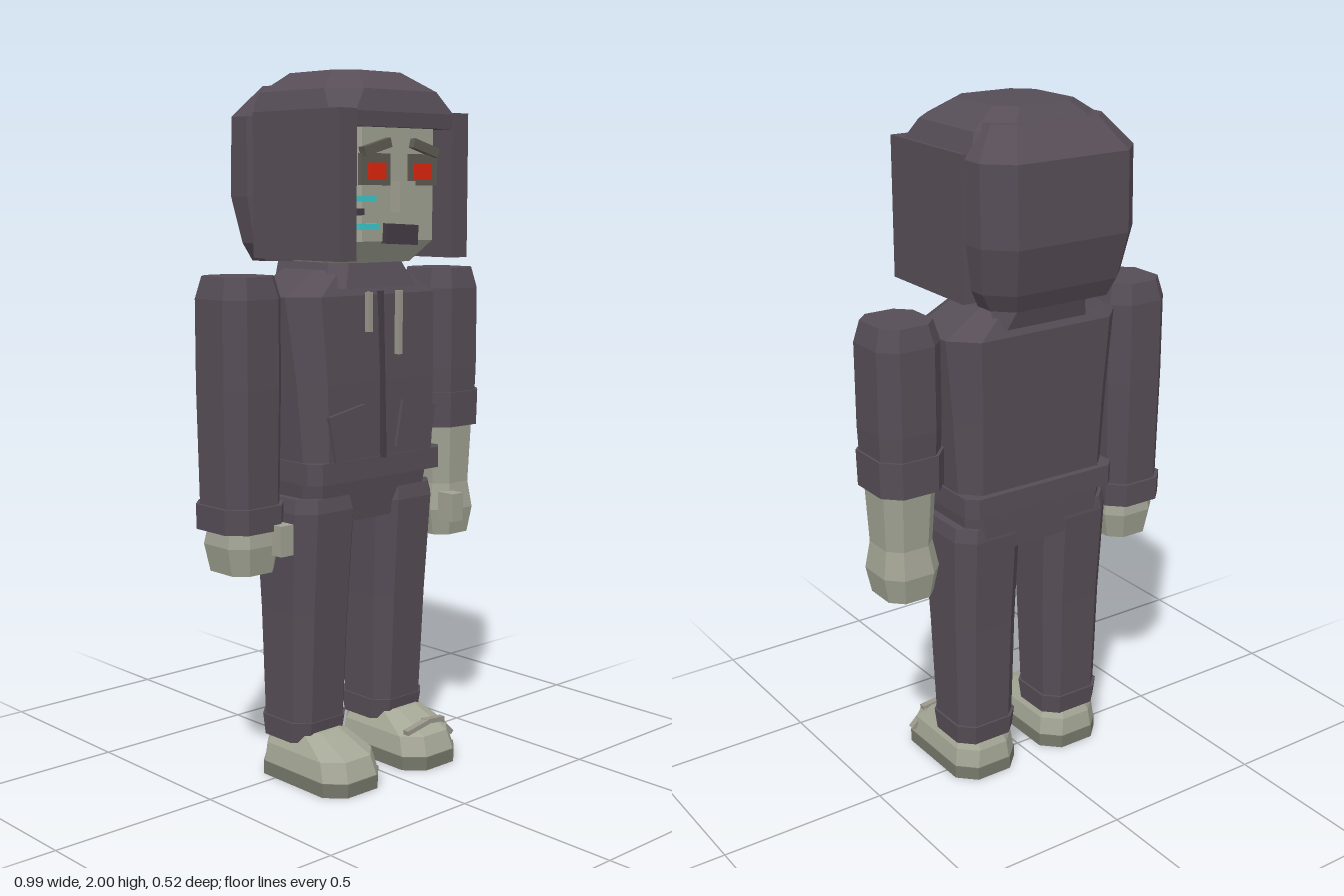
import * as THREE from 'three';

const mat = (name, color) => {
  const m = new THREE.MeshStandardMaterial({ color });
  m.name = name;
  return m;
};

// Octagonal loft; each section is [y, x0, x1, z0, z1, chamfer], listed bottom to top
function loft(sections) {
  const pos = [], idx = [], n = 8;
  for (const [y, x0, x1, z0, z1, c] of sections) {
    const ring = [[x0 + c, z1], [x1 - c, z1], [x1, z1 - c], [x1, z0 + c],
      [x1 - c, z0], [x0 + c, z0], [x0, z0 + c], [x0, z1 - c]];
    for (const [x, z] of ring) pos.push(x, y, z);
  }
  const top = (sections.length - 1) * n;
  for (let s = 0; s < top; s += n) {
    for (let i = 0; i < n; i++) {
      const j = (i + 1) % n;
      idx.push(s + i, s + j, s + n + j, s + i, s + n + j, s + n + i);
    }
  }
  for (let i = 1; i < n - 1; i++) {
    idx.push(0, i + 1, i);
    idx.push(top, top + i, top + i + 1);
  }
  const g = new THREE.BufferGeometry();
  g.setAttribute('position', new THREE.Float32BufferAttribute(pos, 3));
  g.setIndex(idx);
  const flat = g.toNonIndexed();
  flat.computeVertexNormals();
  return flat;
}

export function createModel() {
  const root = new THREE.Group();
  root.name = 'hoodedFigure';
  const cloth = mat('plum cloth', 0x564d56);
  const dark = mat('dark trim', 0x443c45);
  const skin = mat('grey green skin', 0xa0a292);
  const shadow = mat('eye socket', 0x5e5b52);
  const red = mat('red eye', 0xdc260c);
  const cyan = mat('cyan mark', 0x3cc8cc);
  const shoe = mat('shoe', 0xa5a796);
  const sole = mat('sole', 0x77786a);
  const cord = mat('cord', 0x99978a);

  const add = (name, geo, m) => {
    const mesh = new THREE.Mesh(geo, m);
    mesh.name = name;
    root.add(mesh);
    return mesh;
  };
  const box = (name, m, w, h, d, x, y, z, rz = 0, rx = 0) => {
    const b = add(name, new THREE.BoxGeometry(w, h, d), m);
    b.position.set(x, y, z);
    b.rotation.set(rx, 0, rz);
    return b;
  };
  // Sections with a shared centre x: [y, halfX, z0, z1, chamfer]
  const column = (name, m, cx, rows) =>
    add(name, loft(rows.map(([y, h, z0, z1, c]) => [y, cx - h, cx + h, z0, z1, c])), m);

  // Head and face
  column('head', skin, 0, [
    [1.48, 0.14, -0.14, 0.17, 0.04], [1.54, 0.18, -0.16, 0.225, 0.045],
    [1.86, 0.18, -0.16, 0.225, 0.045]]);
  box('nose', skin, 0.058, 0.085, 0.045, 0, 1.66, 0.24);
  box('mouth', dark, 0.125, 0.055, 0.02, 0.005, 1.558, 0.227, -0.05);
  for (const s of [-1, 1]) {
    box('eyeSocket', shadow, 0.11, 0.085, 0.012, s * 0.091, 1.733, 0.226);
    box('eye', red, 0.066, 0.045, 0.01, s * 0.088, 1.728, 0.232);
    box('brow', shadow, 0.1, 0.026, 0.024, s * 0.092, 1.792, 0.232, -s * 0.27);
  }
  box('upperCheekMark', cyan, 0.08, 0.014, 0.02, -0.14, 1.655, 0.235);
  box('cheekScar', dark, 0.045, 0.018, 0.02, -0.16, 1.62, 0.228);
  box('lowerCheekMark', cyan, 0.072, 0.016, 0.02, -0.125, 1.58, 0.235);

  // Hood
  column('hoodCrown', cloth, 0, [
    [1.845, 0.232, -0.17, 0.252, 0.045], [1.885, 0.235, -0.18, 0.255, 0.05],
    [1.945, 0.212, -0.18, 0.235, 0.075], [2.0, 0.13, -0.125, 0.15, 0.05]]);
  column('hoodBack', cloth, 0, [
    [1.48, 0.2, -0.21, -0.05, 0.05], [1.53, 0.23, -0.232, -0.05, 0.065],
    [1.66, 0.25, -0.262, -0.05, 0.07], [1.88, 0.25, -0.257, -0.05, 0.07],
    [1.965, 0.18, -0.185, -0.05, 0.05]]);
  for (const s of [-1, 1]) box('hoodSide', cloth, 0.062, 0.4, 0.355, s * 0.214, 1.69, 0.078);

  // Neck, collar and torso
  column('neck', cloth, 0, [[1.4, 0.13, -0.12, 0.12, 0.04], [1.52, 0.13, -0.13, 0.12, 0.04]]);
  column('collar', cloth, 0, [
    [1.41, 0.172, -0.14, 0.16, 0.04], [1.48, 0.14, -0.158, 0.135, 0.04]]);
  column('torso', cloth, 0, [
    [0.92, 0.25, -0.118, 0.165, 0.05], [1.15, 0.265, -0.13, 0.165, 0.06],
    [1.39, 0.287, -0.143, 0.153, 0.07], [1.46, 0.17, -0.11, 0.12, 0.05]]);
  column('hem', cloth, 0, [
    [0.875, 0.257, -0.14, 0.168, 0.03], [0.935, 0.257, -0.14, 0.168, 0.03]]);
  column('pelvis', cloth, 0, [
    [0.75, 0.225, -0.115, 0.125, 0.04], [0.885, 0.243, -0.12, 0.14, 0.04]]);
  box('zip', dark, 0.014, 0.47, 0.018, 0, 1.165, 0.162, 0, -0.03);
  box('shortDrawstring', cord, 0.014, 0.11, 0.018, -0.06, 1.345, 0.174);
  box('longDrawstring', cord, 0.014, 0.18, 0.018, 0.056, 1.31, 0.174);
  for (const s of [-1, 1])
    box('pocket', cloth, 0.135, 0.135, 0.025, s * 0.128, 1.01, 0.163, -s * 0.19);

  // Sleeves: one full length, one rolled up
  for (const [s, end, cuffTop] of [[-1, 0.76, 0.83], [1, 0.975, 1.08]]) {
    const cx = s * 0.39;
    column('sleeve', cloth, cx, [
      [end + 0.02, 0.093, -0.09, 0.108, 0.042], [1.15, 0.1, -0.097, 0.114, 0.046],
      [1.39, 0.1, -0.097, 0.114, 0.046], [1.45, 0.084, -0.082, 0.1, 0.04]]);
    column('cuff', cloth, cx, [
      [end, 0.102, -0.1, 0.116, 0.046], [cuffTop, 0.104, -0.1, 0.118, 0.046]]);
    column('hand', skin, cx, [
      [0.642, 0.074, -0.066, 0.098, 0.035], [0.72, 0.09, -0.08, 0.11, 0.042],
      [0.8, 0.076, -0.064, 0.098, 0.036], [1.0, 0.086, -0.078, 0.106, 0.04]]);
    box('thumb', skin, 0.045, 0.085, 0.06, s * 0.337, 0.735, 0.116);
  }

  // Legs and shoes
  for (const s of [-1, 1]) {
    const cx = s * 0.156;
    column('trouserLeg', cloth, cx, [
      [0.16, 0.096, -0.09, 0.105, 0.038], [0.5, 0.104, -0.1, 0.122, 0.042],
      [0.79, 0.112, -0.118, 0.143, 0.046], [0.83, 0.104, -0.112, 0.135, 0.044]]);
    column('ankleCuff', cloth, cx, [
      [0.12, 0.1, -0.09, 0.1, 0.04], [0.18, 0.103, -0.097, 0.11, 0.04]]);
    column('sole', sole, cx, [
      [0, 0.107, -0.1, 0.255, 0.05], [0.04, 0.107, -0.1, 0.257, 0.05]]);
    column('shoe', shoe, cx, [
      [0.04, 0.105, -0.098, 0.253, 0.05], [0.095, 0.098, -0.094, 0.235, 0.05],
      [0.148, 0.07, -0.07, 0.118, 0.035]]);
  }
  // Loose lace on the left shoe
  box('lace', cord, 0.09, 0.014, 0.02, 0.115, 0.114, 0.198, 0.18);
  box('lace', cord, 0.08, 0.014, 0.02, 0.19, 0.118, 0.192, -0.1);
  box('laceEnd', cord, 0.075, 0.014, 0.02, 0.245, 0.085, 0.185, -0.75);

  return root;
}
